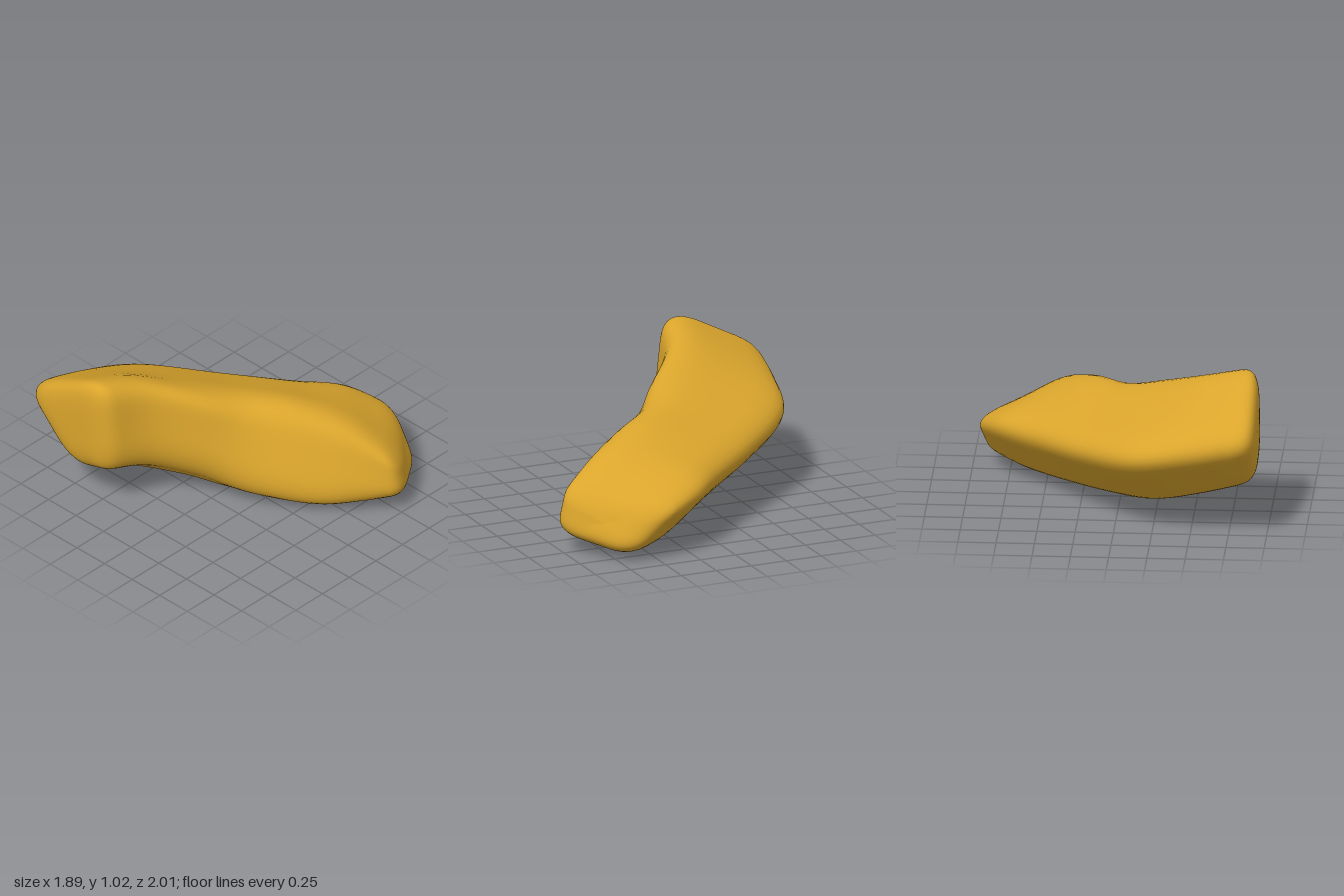
import * as THREE from 'three';

const V = (a) => new THREE.Vector3(...a);

// Cross-sections along the body: top ridge, back edge, bottom keel, front edge
const SECTIONS = [
  [[-0.94, 1.065, -0.39], [-0.94, 0.74, -1.03], [-0.94, 0.35, -0.67], [-0.94, 0.45, -0.31]],
  [[-0.6, 0.97, -0.295], [-0.5, 0.64, -0.98], [-0.58, 0.22, -0.55], [-0.6, 0.41, -0.18]],
  [[-0.3, 0.845, -0.06], [-0.13, 0.56, -0.88], [-0.27, 0.1, -0.34], [-0.36, 0.32, 0.04]],
  [[-0.06, 0.755, 0.12], [0.28, 0.475, -0.47], [0.0, 0.02, -0.02], [-0.17, 0.2, 0.31]],
  [[0.17, 0.705, 0.41], [0.59, 0.45, -0.09], [0.38, 0.017, 0.25], [0.08, 0.12, 0.65]],
  [[0.35, 0.6, 0.69], [0.83, 0.435, 0.17], [0.64, 0.022, 0.48], [0.29, 0.13, 0.85]],
  [[0.5, 0.4, 0.995], [0.97, 0.36, 0.51], [0.93, 0.08, 0.74], [0.52, 0.16, 1.05]],
];
const ROUND = 0.32; // share of each side used by a rounded corner
const ARC = 8;     // steps around one corner
const SIDE = 4;    // extra steps along one flat side

// One smooth curve for each of the four long edges
const edges = [0, 1, 2, 3].map((k) => new THREE.CatmullRomCurve3(SECTIONS.map((s) => V(s[k]))));

// Closed ring: the four-sided section at u with rounded corners
function ring(u, scale) {
  const raw = edges.map((e) => e.getPoint(u));
  const centre = raw.reduce((s, p) => s.add(p), new THREE.Vector3()).multiplyScalar(0.25);
  // push corners out so that the rounded edge still reaches its line
  const c = raw.map((p, k) => p.clone()
    .addScaledVector(raw[(k + 3) % 4].clone().sub(p), -ROUND / 4)
    .addScaledVector(raw[(k + 1) % 4].clone().sub(p), -ROUND / 4));
  const points = [];
  for (let k = 0; k < 4; k++) {
    const p = c[k], prev = c[(k + 3) % 4], next = c[(k + 1) % 4];
    const start = p.clone().lerp(prev, ROUND), end = p.clone().lerp(next, ROUND);
    const arc = new THREE.QuadraticBezierCurve3(start, p, end);
    for (let i = 0; i <= ARC; i++) points.push(arc.getPoint(i / ARC));
    const nextStart = next.clone().lerp(p, ROUND);
    for (let i = 1; i < SIDE; i++) points.push(end.clone().lerp(nextStart, i / SIDE));
  }
  return points.map((p) => p.lerp(centre, 1 - scale));
}

// Superelliptic end cap as [distance from the end, scale]; a smaller power is flatter
function cap(depth, power) {
  const out = [];
  for (let i = 0; i <= 20; i++) {
    const a = (i / 20) * Math.PI / 2;
    out.push([depth * (1 - Math.cos(a) ** power), Math.sin(a) ** power]);
  }
  return out;
}

// Stations [u, scale]: flat left end, straight run, domed right end
function stations() {
  const near = 0.09, far = 0.085, run = [];
  for (let i = 1; i < 48; i++) run.push([near + (i / 48) * (1 - near - far), 1]);
  const end = cap(far, 0.6).reverse().map(([u, s]) => [1 - u, s]);
  return [...cap(near, 0.48), ...run, ...end];
}

function bodyGeometry() {
  const rings = stations().map(([u, s]) => ring(u, s));
  const n = rings[0].length;
  const geometry = new THREE.BufferGeometry().setFromPoints(rings.flat());
  const index = [];
  for (let i = 0; i < rings.length - 1; i++) {
    for (let j = 0; j < n; j++) {
      const a = i * n + j, b = i * n + (j + 1) % n;
      index.push(a, a + n, b, b, a + n, b + n);
    }
  }
  geometry.setIndex(index);
  geometry.computeVertexNormals();
  return geometry;
}

export function createModel() {
  const golden = new THREE.MeshStandardMaterial({ color: 0xdaa52c });
  golden.name = 'golden yellow';
  const body = new THREE.Mesh(bodyGeometry(), golden);
  body.name = 'curvedBody';
  const group = new THREE.Group();
  group.name = 'bentNugget';
  group.add(body);
  return group;
}
